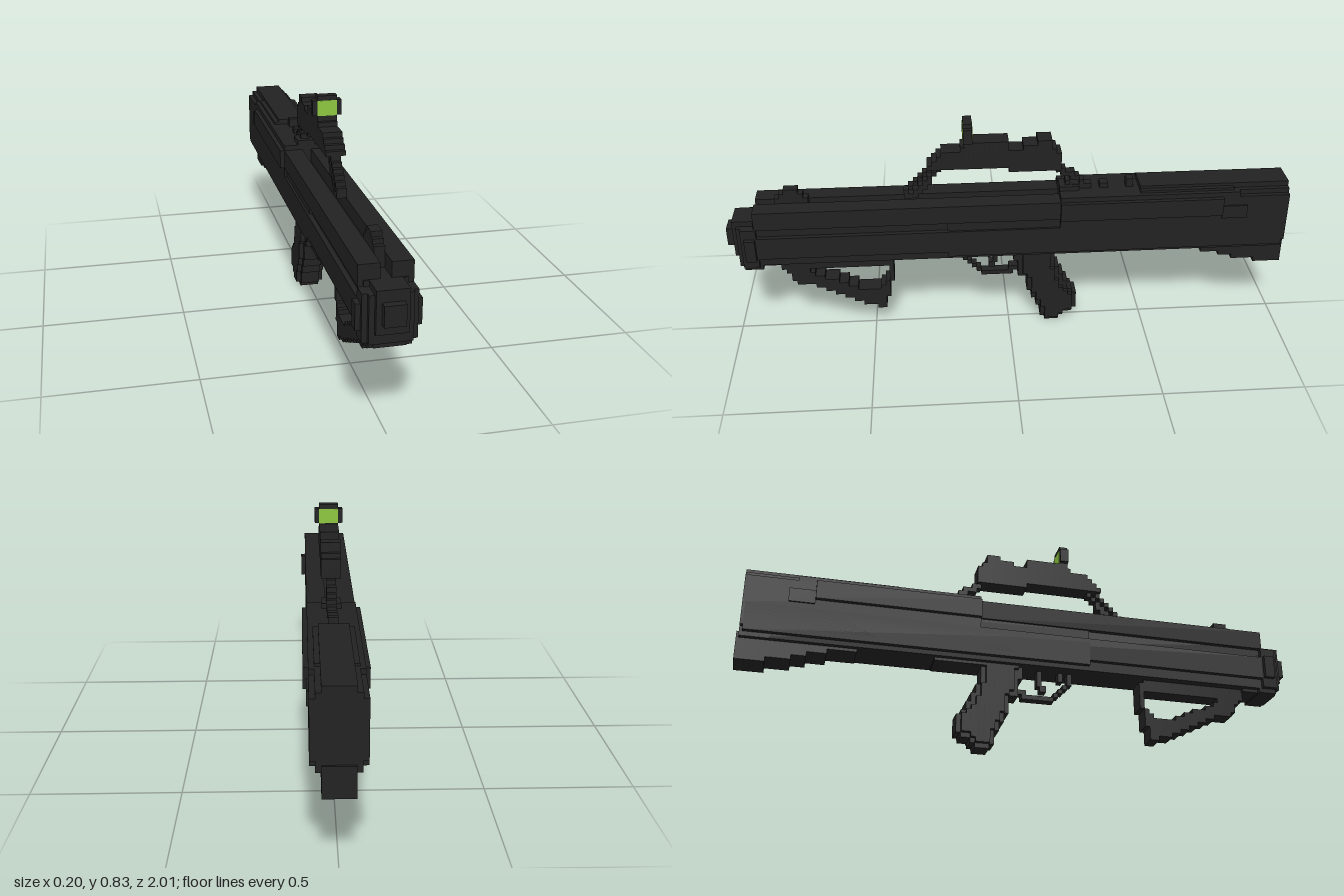
import * as THREE from 'three';
import { mergeGeometries } from 'three/addons/utils/BufferGeometryUtils.js';

const V = 0.0168; // edge of one block

export function createModel() {
  const model = new THREE.Group();
  const black = new THREE.MeshStandardMaterial({ color: 0x222222 });
  black.name = 'matte black';
  const green = new THREE.MeshStandardMaterial({ color: 0x8dc63f });
  green.name = 'lens green';

  const boxGeo = (x0, x1, y0, y1, z0, z1) =>
    new THREE.BoxGeometry(x1 - x0, y1 - y0, z1 - z0)
      .translate((x0 + x1) / 2, (y0 + y1) / 2, (z0 + z1) / 2);

  function add(name, geos, material = black) {
    const mesh = new THREE.Mesh(mergeGeometries(geos), material);
    mesh.name = name;
    model.add(mesh);
  }
  // rows of [half width, y0, y1, z0, z1], centred on x = 0
  const blocks = (name, rows) =>
    add(name, rows.map(([w, y0, y1, z0, z1]) => boxGeo(-w, w, y0, y1, z0, z1)));

  // side outline in [z, y] loops (later loops cut holes), filled with block columns
  function stepped(name, w, ...loops) {
    const zs = loops.flat().map((p) => p[0]);
    const geos = [];
    const first = Math.round(Math.min(...zs) / V);
    const last = Math.round(Math.max(...zs) / V);
    for (let i = first; i < last; i++) {
      const z = (i + 0.5) * V;
      const ys = [];
      for (const loop of loops) {
        loop.forEach(([z0, y0], k) => {
          const [z1, y1] = loop[(k + 1) % loop.length];
          if ((z0 > z) !== (z1 > z)) ys.push(y0 + ((z - z0) / (z1 - z0)) * (y1 - y0));
        });
      }
      ys.sort((a, b) => a - b);
      for (let k = 0; k + 1 < ys.length; k += 2) {
        const lo = Math.round(ys[k] / V);
        const hi = Math.max(Math.round(ys[k + 1] / V), lo + 1);
        geos.push(boxGeo(-w, w, lo * V, hi * V, i * V, (i + 1) * V));
      }
    }
    add(name, geos);
  }

  // Main body with side channel
  blocks('body', [
    [0.067, 0.313, 0.486, -0.98, 0.9],
    [0.084, 0.348, 0.432, -0.99, 0.9],
  ]);
  blocks('receiver', [
    [0.084, 0.33, 0.432, -0.99, 0.22],
    [0.076, 0.432, 0.467, -0.99, 0.22],
  ]);

  // Twin top rails with a groove between them
  const rails = [];
  for (const s of [-1, 1]) {
    const a = s * 0.017, b = s * 0.084;
    rails.push(boxGeo(Math.min(a, b), Math.max(a, b), 0.467, 0.535, -0.18, 0.895));
  }
  add('topRails', rails);

  // Stepped muzzle
  blocks('muzzle', [
    [0.033, 0.382, 0.449, 0.965, 1],
    [0.05, 0.348, 0.486, 0.948, 0.975],
    [0.067, 0.313, 0.467, 0.93, 0.96],
    [0.1, 0.348, 0.432, 0.895, 0.932],
    [0.084, 0.313, 0.467, 0.89, 0.945],
    [0.067, 0.296, 0.449, 0.88, 0.945],
    [0.05, 0.296, 0.486, 0.89, 0.95],
    [0.05, 0.3, 0.33, 0.82, 0.9],
  ]);

  // Rear cover, cheek plates and stock
  blocks('rearCover', [
    [0.1, 0.467, 0.535, -0.76, -0.18],
    [0.084, 0.432, 0.535, -1, -0.18],
    [0.084, 0.53, 0.553, -0.82, -0.18],
    [0.067, 0.53, 0.553, -1, -0.82],
    [0.05, 0.55, 0.572, -1, -0.465],
    [0.067, 0.55, 0.562, -0.8, -0.465],
    [0.09, 0.45, 0.5, -0.85, -0.76],
    [0.084, 0.348, 0.45, -1, -0.9],
    [0.067, 0.313, 0.35, -1, -0.9],
  ]);
  blocks('coverDetails', [
    [0.033, 0.55, 0.57, -0.25, -0.18],
    [0.017, 0.55, 0.572, -0.295, -0.265],
    [0.017, 0.55, 0.572, -0.355, -0.325],
    [0.017, 0.55, 0.585, -0.445, -0.42],
  ]);
  stepped('stock', 0.05, [
    [-0.03, 0.34], [-0.03, 0.32], [-0.25, 0.305], [-0.4, 0.315], [-0.44, 0.33],
    [-0.56, 0.32], [-0.72, 0.29], [-0.85, 0.255], [-0.95, 0.235], [-1, 0.23], [-1, 0.34],
  ]);

  // Folding front grip with opening
  stepped('frontGrip', 0.034,
    [[0.84, 0.32], [0.77, 0.2], [0.72, 0.2], [0.49, 0.09], [0.46, 0.09], [0.44, 0.15],
      [0.415, 0.25], [0.435, 0.32]],
    [[0.72, 0.262], [0.442, 0.262], [0.442, 0.2], [0.48, 0.165], [0.52, 0.16],
      [0.62, 0.21], [0.67, 0.22]]);

  // Pistol grip: wide core with a narrower outer edge
  stepped('gripEdge', 0.034, [
    [-0.02, 0.32], [-0.03, 0.215], [-0.06, 0.2], [-0.07, 0.145], [-0.1, 0.085],
    [-0.125, 0.02], [-0.14, 0], [-0.17, 0], [-0.255, 0.06], [-0.255, 0.11],
    [-0.22, 0.145], [-0.185, 0.21], [-0.165, 0.28], [-0.19, 0.32],
  ]);
  stepped('gripCore', 0.05, [
    [-0.04, 0.32], [-0.05, 0.22], [-0.08, 0.19], [-0.09, 0.145], [-0.12, 0.08],
    [-0.14, 0.02], [-0.17, 0.02], [-0.235, 0.06], [-0.235, 0.105],
    [-0.2, 0.145], [-0.165, 0.21], [-0.15, 0.28], [-0.17, 0.32],
  ]);

  // Trigger guard and trigger
  stepped('triggerGuard', 0.017,
    [[0.168, 0.32], [0.168, 0.275], [0.1, 0.2], [0.0, 0.2], [-0.05, 0.235], [-0.05, 0.32]],
    [[0.151, 0.32], [0.151, 0.285], [0.095, 0.218], [0.005, 0.218], [-0.034, 0.245], [-0.034, 0.32]]);
  blocks('trigger', [
    [0.017, 0.255, 0.32, 0.04, 0.057],
    [0.017, 0.235, 0.258, 0.05, 0.073],
    [0.017, 0.28, 0.32, 0.118, 0.135],
  ]);

  // Front sight set into the groove
  stepped('frontSight', 0.017, [
    [0.823, 0.48], [0.823, 0.545], [0.79, 0.575], [0.773, 0.59], [0.756, 0.59],
    [0.722, 0.56], [0.706, 0.535], [0.706, 0.48],
  ]);

  // Raised carrier: open struts and sight rail
  stepped('frontStrut', 0.017,
    [[0.378, 0.535], [0.378, 0.555], [0.252, 0.69], [0.235, 0.645], [0.32, 0.545], [0.32, 0.535]],
    [[0.353, 0.555], [0.252, 0.662], [0.252, 0.65], [0.336, 0.555]]);
  stepped('rearStrut', 0.017,
    [[-0.151, 0.65], [-0.185, 0.65], [-0.27, 0.58], [-0.27, 0.55], [-0.2, 0.55], [-0.2, 0.59]],
    [[-0.185, 0.62], [-0.205, 0.61], [-0.25, 0.575], [-0.22, 0.57]]);
  stepped('sightRail', 0.034, [
    [0.29, 0.65], [0.29, 0.665], [0.235, 0.718], [0.168, 0.728], [0.151, 0.756],
    [0.0, 0.756], [0.0, 0.723], [-0.05, 0.723], [-0.05, 0.739], [-0.1, 0.745],
    [-0.108, 0.76], [-0.135, 0.76], [-0.151, 0.739], [-0.168, 0.718], [-0.185, 0.7],
    [-0.185, 0.635], [-0.15, 0.645],
  ]);

  // Sight frame with a lens on both faces
  blocks('sightFrame', [
    [0.034, 0.74, 0.828, 0.126, 0.157],
    [0.05, 0.76, 0.812, 0.126, 0.157],
  ]);
  add('lens', [
    boxGeo(-0.034, 0.034, 0.759, 0.812, 0.155, 0.159),
    boxGeo(-0.034, 0.034, 0.759, 0.812, 0.124, 0.128),
  ], green);

  return model;
}
